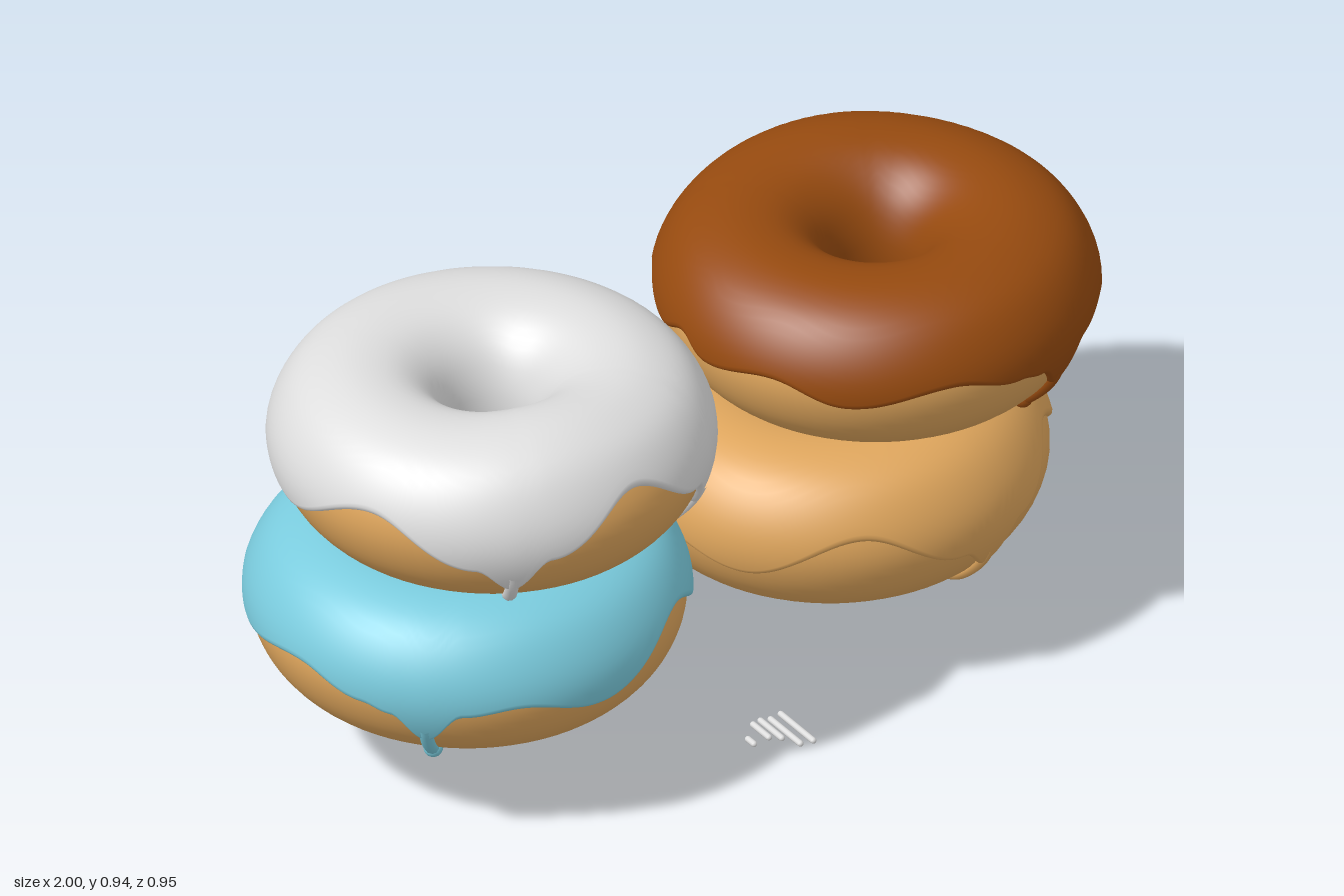
import * as THREE from 'three';

const mat = (name, color) => {
  const m = new THREE.MeshStandardMaterial({ color });
  m.name = name;
  return m;
};

// Dough section from inside the hole, over the top, down to the underside
const section = new THREE.CatmullRomCurve3([
  [0.105, 0.15], [0.112, 0.23], [0.142, 0.3], [0.195, 0.345], [0.26, 0.361], [0.325, 0.356],
  [0.4, 0.32], [0.45, 0.245], [0.46, 0.175], [0.43, 0.09], [0.365, 0.023], [0.3, 0],
].map(([r, y]) => new THREE.Vector3(r, y, 0)), false, 'centripetal');

// Curve parameter on the outer wall at a given height
function outerAt(y) {
  let lo = 0.5, hi = 1;
  for (let i = 0; i < 24; i++) {
    const mid = (lo + hi) / 2;
    if (section.getPointAt(mid).y > y) lo = mid; else hi = mid;
  }
  return lo;
}

// Point on the section pushed outwards
function raised(u, off) {
  const p = section.getPointAt(u), t = section.getTangentAt(u);
  return new THREE.Vector2(p.x - t.y * off, p.y + t.x * off);
}

// Wavy lower edge of the icing: angle in degrees, height
const EDGE = [
  [-121, 0.09], [-111, 0.165], [-96, 0.18], [-72, 0.14], [-39, 0.235], [-10, 0.14], [0, 0.08],
  [10, 0.16], [36, 0.262], [62, 0.165], [71, 0.08], [78, 0.17], [90, 0.21], [110, 0.18], [121, 0.21],
  [131, 0.18], [153, 0.21], [174, 0.17], [202, 0.205], [222, 0.17], [230, 0.155], [239, 0.09],
];
// Drips: angle, height of the tip
const DRIPS = [[0, 0.004], [71, 0.008], [-121, 0.022]];

function edgeHeight(deg) {
  const k = EDGE.findIndex((e) => e[0] > deg);
  const [a, ya] = EDGE[k - 1], [b, yb] = EDGE[k];
  return ya + (yb - ya) * (1 - Math.cos(Math.PI * (deg - a) / (b - a))) / 2;
}

function icingGeometry() {
  const cols = 300, length = section.getLength(), thick = 0.013, lip = 0.016;
  const ease = [0, 0.06, 0.25, 0.55, 1].map((k) => k * lip / length);
  const pos = [], index = [];
  let rows = 0;
  for (let j = 0; j < cols; j++) {
    const deg = -121 + 360 * j / cols, a = THREE.MathUtils.degToRad(deg);
    const end = outerAt(edgeHeight(deg));
    const us = [...ease];
    for (let i = 1; i < 26; i++) us.push(THREE.MathUtils.lerp(ease[4], end - ease[4], i / 26));
    us.push(...ease.map((e) => end - e).reverse());
    rows = us.length;
    const swell = 0.016 * Math.exp(-(((deg - 20) / 36) ** 2));
    for (const u of us) {
      const d = Math.min(1, Math.min(u, end - u) * length / lip);
      const p = raised(u, -0.002 + (thick + 0.002) * Math.sqrt(Math.max(0, 1 - (1 - d) ** 2)));
      const y = p.y + swell * Math.max(0, p.y / 0.37) ** 4;
      pos.push(p.x * Math.sin(a), y, p.x * Math.cos(a));
    }
  }
  for (let j = 0; j < cols; j++) {
    for (let i = 0; i < rows - 1; i++) {
      const p = j * rows + i, q = ((j + 1) % cols) * rows + i;
      index.push(p, p + 1, q, p + 1, q + 1, q);
    }
  }
  const g = new THREE.BufferGeometry();
  g.setAttribute('position', new THREE.Float32BufferAttribute(pos, 3));
  g.setIndex(index);
  g.computeVertexNormals();
  return g;
}

function doughGeometry() {
  const pts = [new THREE.Vector2(0.2, 0)];
  for (let i = 40; i >= 0; i--) pts.push(raised(i / 40, 0));
  pts.push(new THREE.Vector2(0.118, 0.09), new THREE.Vector2(0.15, 0.035), new THREE.Vector2(0.2, 0));
  return new THREE.LatheGeometry(pts, 72);
}

export function createModel() {
  const model = new THREE.Group();
  const dough = mat('dough', 0xdea55c);
  const white = mat('white icing', 0xdedede);
  const blue = mat('blue icing', 0x7acbdd);
  const brown = mat('chocolate icing', 0x964a0f);
  const doughGeo = doughGeometry(), icingGeo = icingGeometry();

  function add(parent, name, geo, material) {
    const m = new THREE.Mesh(geo, material);
    m.name = name;
    parent.add(m);
    return m;
  }

  // Ring cake, icing and three running drips; turn spins the shared icing pattern
  function donut(name, icing, x, y, turn) {
    const g = new THREE.Group();
    g.name = name;
    add(g, 'dough', doughGeo, dough);
    add(g, 'icing', icingGeo, icing);
    for (const [deg, tip] of DRIPS) {
      const a = THREE.MathUtils.degToRad(deg), u0 = outerAt(0.125), u1 = outerAt(tip);
      const path = [];
      for (let i = 0; i <= 8; i++) {
        const p = raised(THREE.MathUtils.lerp(u0, u1, i / 8), 0.001);
        path.push(new THREE.Vector3(p.x * Math.sin(a), p.y, p.x * Math.cos(a)));
      }
      add(g, 'drip', new THREE.TubeGeometry(new THREE.CatmullRomCurve3(path), 16, 0.015, 10), icing);
      add(g, 'dripTip', new THREE.SphereGeometry(0.021, 16, 12), icing).position.copy(path[8]);
    }
    g.position.set(x, y, 0);
    g.rotation.y = THREE.MathUtils.degToRad(turn);
    model.add(g);
  }
  donut('blueDonut', blue, -0.53, 0.19, 74);
  donut('whiteDonut', white, -0.467, 0.555, -30);
  donut('plainDonut', dough, 0.405, 0.19, 12);
  donut('chocolateDonut', brown, 0.523, 0.55, 143);

  // Loose sprinkles on the ground: x, y, z from, z to
  for (const [x, y, z0, z1] of [
    [-0.07, 0.012, 0.36, 0.395], [-0.028, 0.01, 0.32, 0.39], [-0.009, 0.012, 0.32, 0.41],
    [0.01, 0.013, 0.33, 0.45], [0.036, 0.016, 0.33, 0.46],
  ]) {
    const s = add(model, 'sprinkle', new THREE.CapsuleGeometry(0.007, z1 - z0 - 0.014, 4, 10), white);
    s.rotation.x = Math.PI / 2 + 0.03;
    s.position.set(x, y, (z0 + z1) / 2);
  }
  return model;
}
